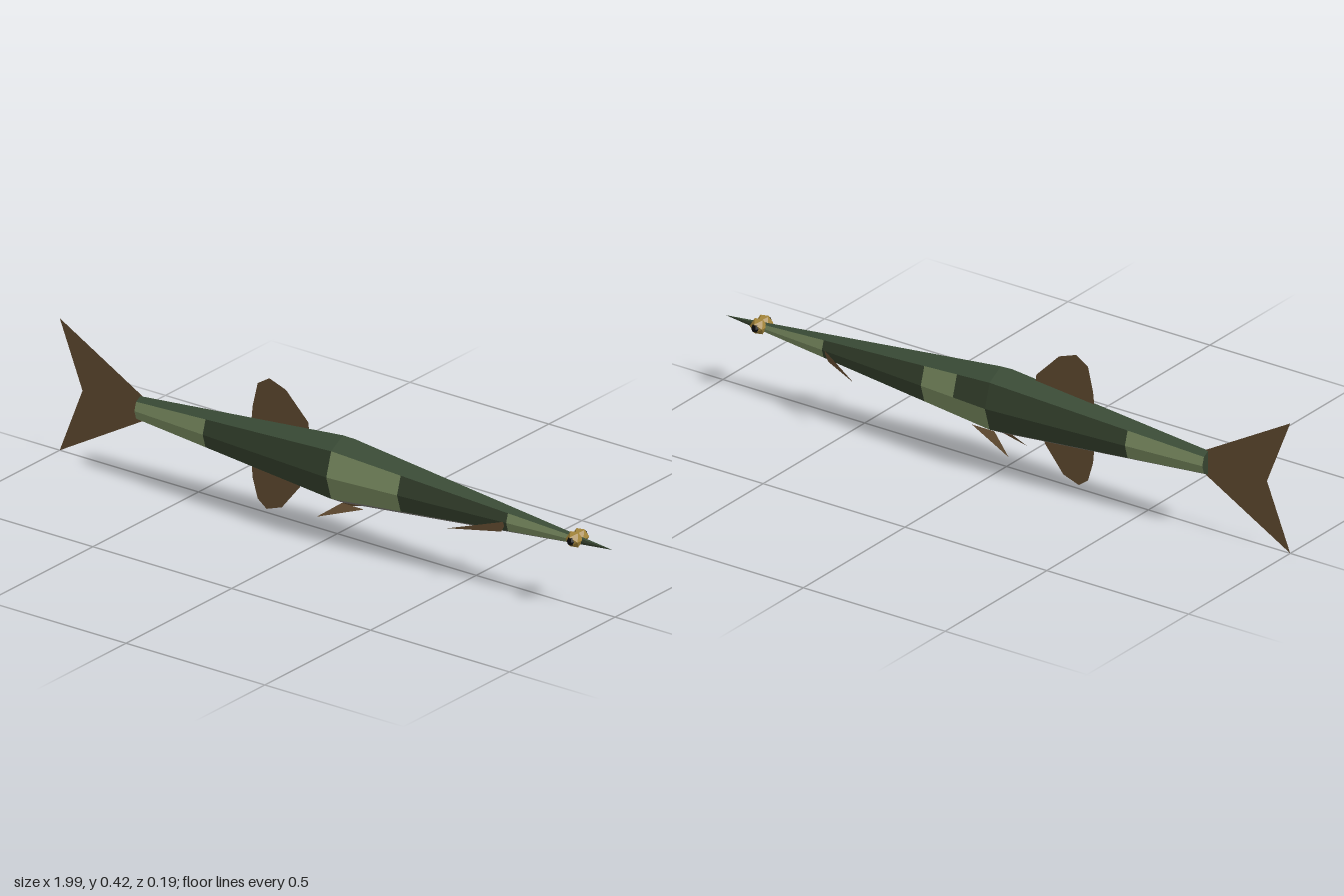
import * as THREE from 'three';

const CY = 0.207; // height of the body axis
const paint = (color, side = THREE.FrontSide) =>
  new THREE.MeshStandardMaterial({ color, side, flatShading: true });

const LIGHT = paint(0x7d8f63), DARK = paint(0x36432f), BACK = paint(0x3b4d37);
const BELLY = paint(0x84827c), GOLD = paint(0xa5863a), BLACK = paint(0x0c0c0c);
const FIN = paint(0x6b5336, THREE.DoubleSide);

// Body section scale: 1 at the widest ring, tapering to tail and snout
const taper = (x) => (x < 0.02 ? THREE.MathUtils.mapLinear(x, -0.71, 0.02, 0.355, 1)
  : Math.max(0, THREE.MathUtils.mapLinear(x, 0.02, 0.99, 1, 0)));

// Point on the eight-sided ring at x; corner 0 is the top, corner 2 faces +z
function ringPoint(x, i) {
  const a = i * Math.PI / 4, s = taper(x);
  return new THREE.Vector3(x, CY + 0.105 * s * Math.cos(a), 0.079 * s * Math.sin(a));
}

function triangles(points) {
  const g = new THREE.BufferGeometry().setFromPoints(points);
  g.computeVertexNormals();
  return g;
}

function addMesh(parent, name, geometry, material) {
  const m = new THREE.Mesh(geometry, material);
  m.name = name;
  parent.add(m);
  return m;
}

function createBody() {
  const body = new THREE.Group();
  body.name = 'body';
  const stops = [-0.71, -0.45, 0.02, 0.14, 0.26, 0.63, 0.86, 0.99];
  const lightBands = [0, 2, 3, 5];
  const patches = new Map([[LIGHT, []], [DARK, []], [BACK, []], [BELLY, []]]);
  for (let b = 0; b < stops.length - 1; b++) {
    for (let i = 0; i < 8; i++) {
      let mat = lightBands.includes(b) ? LIGHT : DARK;
      if (i === 0 || i === 7) mat = BACK;
      if (i === 3 || i === 4) mat = BELLY;
      if (i === 6 && b === 2) mat = DARK;
      const p = ringPoint(stops[b], i), q = ringPoint(stops[b], i + 1);
      const r = ringPoint(stops[b + 1], i + 1), s = ringPoint(stops[b + 1], i);
      patches.get(mat).push(p, q, r, p, r, s);
    }
  }
  // Flat cap at the tail root
  for (let i = 0; i < 8; i++) {
    patches.get(DARK).push(new THREE.Vector3(-0.71, CY, 0), ringPoint(-0.71, i + 1), ringPoint(-0.71, i));
  }
  const names = ['lightBands', 'darkBands', 'backStripe', 'belly'];
  [...patches].forEach(([mat, pts], k) => addMesh(body, names[k], triangles(pts), mat));
  return body;
}

// Flat fin standing in the middle plane
function flatFin(parent, name, outline) {
  const shape = new THREE.Shape(outline.map(([x, y]) => new THREE.Vector2(x, y)));
  addMesh(parent, name, new THREE.ShapeGeometry(shape), FIN);
}

export function createModel() {
  const fish = new THREE.Group();
  fish.name = 'fish';
  fish.add(createBody());

  flatFin(fish, 'tailFin', [[-0.7, 0.245], [-1, 0.412], [-0.918, CY], [-1, 0], [-0.7, 0.169]]);
  flatFin(fish, 'dorsalFin', [[-0.31, 0.27], [-0.305, 0.32], [-0.287, 0.395], [-0.245, 0.421],
    [-0.185, 0.4], [-0.105, 0.32], [-0.1, 0.28]]);
  flatFin(fish, 'analFin', [[-0.31, 0.15], [-0.305, 0.095], [-0.287, 0.035], [-0.255, 0.011],
    [-0.2, 0.03], [-0.135, 0.11], [-0.13, 0.14]]);

  // Paired parts on both flanks
  for (const side of [1, -1]) {
    const label = side > 0 ? 'front' : 'back';
    const v = (x, y, z) => new THREE.Vector3(x, y, z * side);
    addMesh(fish, label + 'PectoralFin',
      triangles([v(0.63, 0.211, 0.026), v(0.47, 0.172, 0.096), v(0.61, 0.174, 0.026)]), FIN);
    addMesh(fish, label + 'PelvicFin',
      triangles([v(0.11, 0.11, 0.018), v(-0.04, 0.058, 0.046), v(0.03, 0.11, 0.018)]), FIN);

    // Bulging eye: faceted socket with a dark pupil
    const eye = new THREE.Group();
    eye.name = label + 'Eye';
    eye.position.set(0.864, 0.212, 0.014 * side);
    addMesh(eye, 'socket', new THREE.IcosahedronGeometry(0.026, 0), GOLD);
    const pupil = addMesh(eye, 'pupil', new THREE.SphereGeometry(0.015, 6, 4), BLACK);
    pupil.position.z = 0.013 * side;
    fish.add(eye);
  }
  return fish;
}
